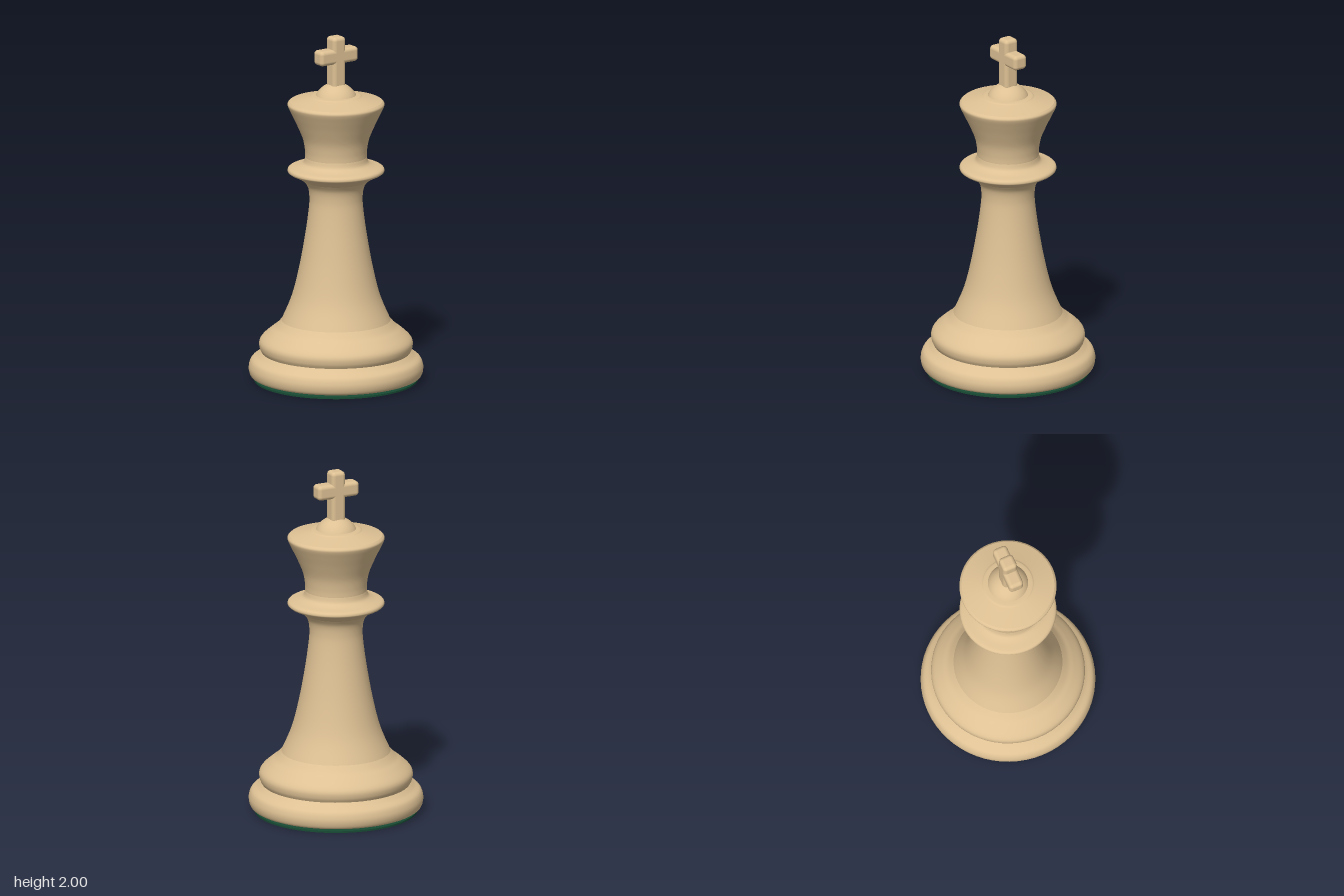
import * as THREE from 'three';
import { RoundedBoxGeometry } from 'three/addons/geometries/RoundedBoxGeometry.js';

const SEGMENTS = 64;

export function createModel() {
  const group = new THREE.Group();
  const wood = new THREE.MeshStandardMaterial({ color: 0xdec194 });
  wood.name = 'paleWood';
  const felt = new THREE.MeshStandardMaterial({ color: 0x174a33 });
  felt.name = 'greenFelt';

  const add = (name, geometry, material, y = 0) => {
    const mesh = new THREE.Mesh(geometry, material);
    mesh.name = name;
    mesh.position.y = y;
    group.add(mesh);
  };

  // Turned part: a smooth curve through [radius, height] points, bottom to top
  const turned = (name, points, divisions = 40) => {
    const curve = new THREE.SplineCurve(points.map(([r, y]) => new THREE.Vector2(r, y)));
    add(name, new THREE.LatheGeometry(curve.getPoints(divisions), SEGMENTS), wood);
  };

  // Felt pad and the recessed foot above it
  add('feltPad', new THREE.CylinderGeometry(0.463, 0.463, 0.01, SEGMENTS), felt, 0.005);
  add('foot', new THREE.CylinderGeometry(0.38, 0.38, 0.014, SEGMENTS), wood, 0.016);
  const underside = new THREE.CircleGeometry(0.462, SEGMENTS).rotateX(Math.PI / 2);
  add('baseUnderside', underside, wood, 0.022);

  // Base ring, cove and bead
  turned('baseRing', [[0.462, 0.022], [0.483, 0.032], [0.493, 0.06], [0.492, 0.09],
    [0.478, 0.122], [0.445, 0.145], [0.421, 0.166]]);
  turned('baseBead', [[0.421, 0.166], [0.432, 0.19], [0.434, 0.222], [0.418, 0.25],
    [0.375, 0.288], [0.34, 0.315], [0.308, 0.35]]);

  // Tapering stem
  turned('stem', [[0.308, 0.35], [0.25, 0.49], [0.208, 0.66], [0.174, 0.85],
    [0.154, 1.0], [0.151, 1.07], [0.16, 1.125], [0.184, 1.162]], 48);

  // Collar disc
  turned('collar', [[0.184, 1.162], [0.225, 1.188], [0.266, 1.208], [0.274, 1.222],
    [0.262, 1.237], [0.215, 1.25], [0.185, 1.268], [0.174, 1.3]]);

  // Flared head with a rounded rim and sloping top
  turned('head', [[0.174, 1.3], [0.176, 1.34], [0.188, 1.405], [0.22, 1.483],
    [0.252, 1.55], [0.271, 1.59], [0.274, 1.608], [0.262, 1.621]]);
  turned('headTop', [[0.262, 1.621], [0.2, 1.636], [0.15, 1.649], [0.125, 1.657], [0, 1.668]], 24);

  // Dome under the cross
  add('dome', new THREE.SphereGeometry(0.127, SEGMENTS, 16, 0, Math.PI * 2, 0, Math.PI / 2), wood, 1.602);

  // Cross finial
  add('crossUpright', new THREE.BoxGeometry().copy(new RoundedBoxGeometry(0.086, 0.3, 0.086, 4, 0.022)), wood, 1.85);
  add('crossArm', new THREE.BoxGeometry().copy(new RoundedBoxGeometry(0.26, 0.086, 0.086, 4, 0.022)), wood, 1.887);

  return group;
}
